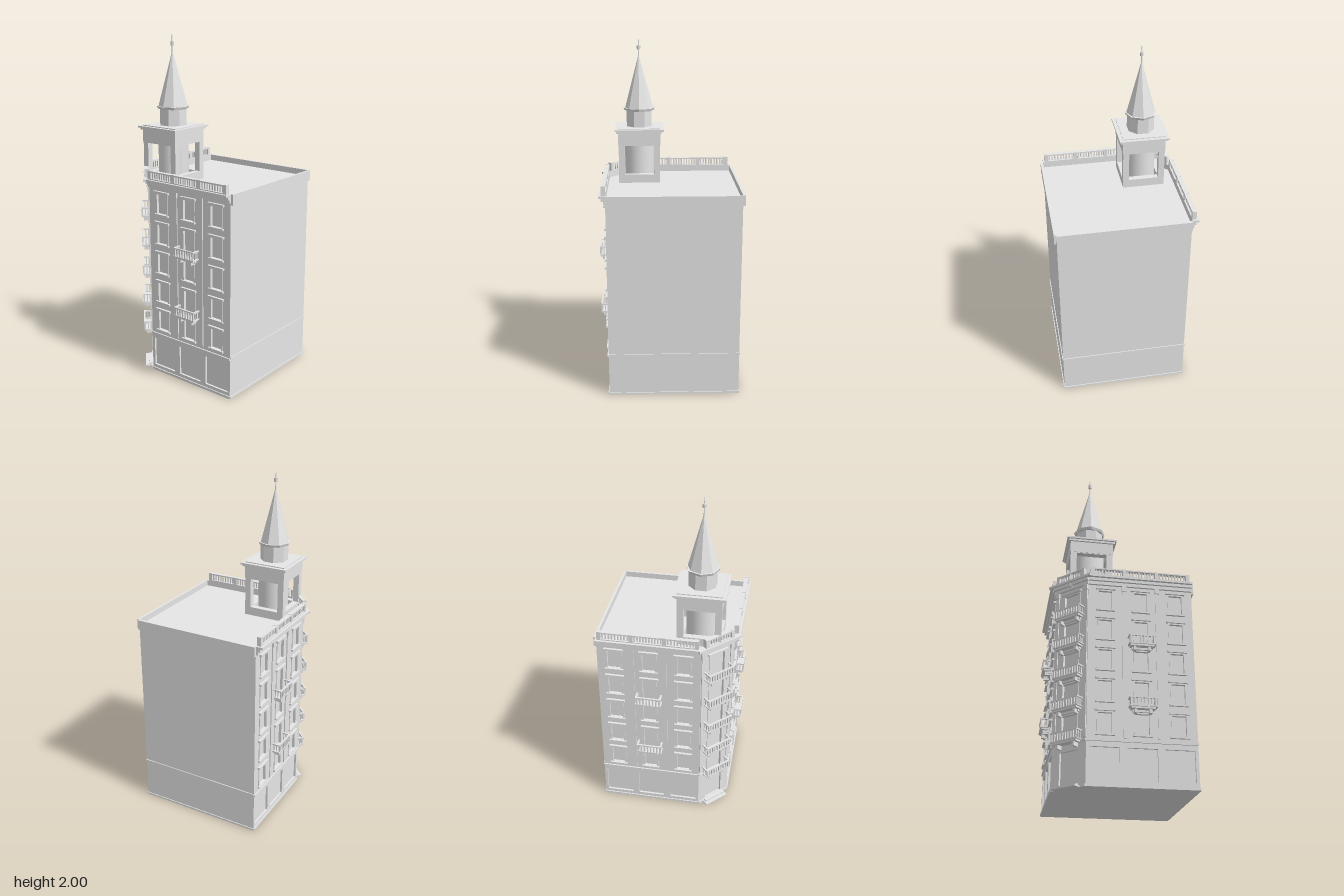
import * as THREE from 'three';

const stone = new THREE.MeshStandardMaterial({ color: 0xe6e6e6 });
stone.name = 'stone';

const FLOOR = 0.18;
const ROOF = 1.165;
const RECESS = 0.012;

function add(parent, name, geo, x = 0, y = 0, z = 0) {
  const m = new THREE.Mesh(geo, stone);
  m.name = name;
  m.position.set(x, y, z);
  parent.add(m);
  return m;
}

// box given by its centre in x, its bottom and top, and its back and front in z
function slab(parent, name, x, w, y0, y1, z0, z1) {
  return add(parent, name, new THREE.BoxGeometry(w, y1 - y0, z1 - z0), x, (y0 + y1) / 2, (z0 + z1) / 2);
}

function rect(S, x, y0, w, y1) {
  const s = new S();
  s.moveTo(x - w / 2, y0);
  s.lineTo(x + w / 2, y0);
  s.lineTo(x + w / 2, y1);
  s.lineTo(x - w / 2, y1);
  s.closePath();
  return s;
}

// wall with rectangular openings [x, y0, width, y1]
function wall(parent, name, outer, holes, depth, z) {
  const s = rect(THREE.Shape, ...outer);
  for (const h of holes) s.holes.push(rect(THREE.Path, ...h));
  return add(parent, name, new THREE.ExtrudeGeometry(s, { depth, bevelEnabled: false }), 0, 0, z);
}

// footprint prism with the cut corner at -x, -z
function prism(parent, name, inset, y0, y1) {
  const a = -0.36 + inset, b = 0.395, c = -0.2 + inset * 0.414;
  const pts = [[a, c], [c, a], [b, a], [b, b], [a, b]].map(([x, z]) => new THREE.Vector2(x, -z));
  const geo = new THREE.ExtrudeGeometry(new THREE.Shape(pts), { depth: y1 - y0, bevelEnabled: false });
  geo.rotateX(-Math.PI / 2);
  return add(parent, name, geo, 0, y0, 0);
}

// row of balusters between a base and a hand rail
function railing(parent, name, x0, x1, y0, y1, z, t, step) {
  const g = new THREE.Group();
  g.name = name;
  const xc = (x0 + x1) / 2, w = x1 - x0, n = Math.max(2, Math.round(w / step));
  slab(g, 'railBase', xc, w, y0, y0 + 0.006, z - t / 2, z + t / 2);
  slab(g, 'handRail', xc, w, y1 - 0.008, y1, z - t / 2, z + t / 2);
  for (let i = 0; i < n; i++) {
    slab(g, 'baluster', x0 + (i + 0.5) * w / n, 0.008, y0, y1 - 0.005, z - 0.004, z + 0.004);
  }
  parent.add(g);
}

function balcony(parent, x, y, w) {
  const g = new THREE.Group();
  g.name = 'balcony';
  slab(g, 'balconyDeck', x, w - 0.02, y - 0.01, y, 0, 0.044);
  for (const s of [-1, 1]) {
    slab(g, 'bracket', x + s * (w / 2 - 0.035), 0.015, y - 0.032, y - 0.01, 0, 0.036);
    slab(g, 'sideRail', x + s * (w / 2 - 0.005), 0.01, y + 0.047, y + 0.055, 0, 0.04);
    slab(g, 'sideBase', x + s * (w / 2 - 0.005), 0.01, y, y + 0.006, 0, 0.04);
    for (const z of [0.01, 0.026]) {
      slab(g, 'sideBaluster', x + s * (w / 2 - 0.009), 0.006, y, y + 0.05, z - 0.003, z + 0.003);
    }
  }
  railing(g, 'balconyRailing', x - w / 2, x + w / 2, y, y + 0.055, 0.045, 0.01, 0.018);
  parent.add(g);
}

// surround, sill and cap of an opening
function trim(parent, [x, y0, w, y1], sill) {
  wall(parent, 'windowFrame', [x, y0, w + 0.016, y1 + 0.008], [[x, y0, w, y1]], 0.004, 0);
  slab(parent, 'windowCap', x, w + 0.035, y1 + 0.008, y1 + 0.02, 0, 0.014);
  if (sill) slab(parent, 'windowSill', x, w + 0.03, y0 - 0.01, y0, 0, 0.013);
}

function facade(name, len, x, z, turn, corner) {
  const g = new THREE.Group();
  g.name = name;
  g.position.set(x, 0, z);
  g.rotation.y = turn;
  const holes = [], cols = corner ? [0] : [-0.2, 0, 0.2];

  // shop windows or the corner entrance
  for (const c of cols) holes.push(corner ? [0, 0.02, 0.12, 0.2] : [c, 0.035, 0.16, 0.21]);

  // five upper floors
  for (let f = 0; f < 5; f++) {
    const y = 0.245 + f * FLOOR;
    for (const c of cols) {
      const hasBalcony = corner || (c === 0 && (f === 1 || f === 3));
      const h = [c, hasBalcony ? y : y + 0.035, corner ? 0.1 : 0.075, y + 0.15];
      holes.push(h);
      trim(g, h, !hasBalcony);
      if (hasBalcony) balcony(g, c, y, corner ? 0.178 : 0.15);
    }
  }
  wall(g, 'facadeWall', [0, 0, len, ROOF], holes, RECESS, -RECESS);

  // pilasters
  for (const s of [-1, 1]) {
    const px = s * (corner ? len / 2 - 0.012 : 0.094);
    slab(g, 'pilaster', px, corner ? 0.018 : 0.02, 0.26, 1.15, 0, 0.006);
    slab(g, 'capital', px, 0.026, 1.12, 1.15, 0, 0.012);
  }

  // plinth, string course and stepped cornice
  slab(g, 'plinth', 0, len, 0, 0.015, 0, 0.006);
  slab(g, 'stringCourse', 0, len, 0.238, 0.25, 0, 0.008);
  slab(g, 'corniceLower', 0, len + (corner ? 0.01 : 0), 1.15, 1.17, 0, 0.012);
  slab(g, 'corniceMiddle', 0, len + (corner ? 0.02 : 0), 1.17, 1.187, 0, 0.024);
  slab(g, 'corniceTop', 0, corner ? 0.297 : len, 1.187, 1.2, 0, corner ? 0.035 : 0.039);

  // roof balustrade with posts
  const posts = corner ? [-0.088, 0.088] : [-0.275, -0.0935, 0.0935, 0.275];
  posts.forEach((p, i) => {
    slab(g, 'roofPost', p, 0.022, 1.2, 1.252, 0, 0.025);
    if (i) railing(g, 'roofBalustrade', posts[i - 1] + 0.011, p - 0.011, 1.2, 1.25, 0.0125, 0.025, 0.017);
  });

  // entrance steps
  if (corner) {
    slab(g, 'lowerStep', 0, 0.16, 0, 0.008, 0, 0.045);
    slab(g, 'upperStep', 0, 0.14, 0.008, 0.018, 0, 0.025);
  }
  return g;
}

function tower() {
  const g = new THREE.Group();
  g.name = 'tower';
  g.position.set(-0.175, 0, -0.175);

  // belfry: corner piers, low wall and lintel around a round core
  for (let i = 0; i < 4; i++) {
    const side = new THREE.Group();
    side.name = 'belfrySide';
    side.rotation.y = i * Math.PI / 2;
    wall(side, 'belfryWall', [0, ROOF, 0.246, 1.475], [[0, 1.215, 0.175, 1.39]], 0.035, 0.088);
    slab(side, 'belfryBand', 0, 0.25, 1.395, 1.47, 0.12, 0.125);
    g.add(side);
  }
  add(g, 'belfryCore', new THREE.CylinderGeometry(0.088, 0.088, 0.31, 32), 0, 1.32, 0);
  slab(g, 'belfryMoulding', 0, 0.27, 1.465, 1.477, -0.135, 0.135);
  slab(g, 'belfryCap', 0, 0.29, 1.477, 1.487, -0.145, 0.145);
  slab(g, 'drumBase', 0, 0.248, 1.487, 1.492, -0.124, 0.124);

  // eight-sided drum and spire
  const octagon = (name, top, bottom, y0, y1, turn = 0) => {
    const geo = new THREE.CylinderGeometry(top, bottom, y1 - y0, 8).toNonIndexed();
    geo.computeVertexNormals();
    add(g, name, geo, 0, (y0 + y1) / 2, 0).rotation.y = turn;
  };
  octagon('drum', 0.081, 0.081, 1.49, 1.59, Math.PI / 8);
  octagon('drumCap', 0.094, 0.088, 1.585, 1.6);
  octagon('spire', 0.004, 0.084, 1.6, 1.9);

  // finial
  add(g, 'finialRod', new THREE.CylinderGeometry(0.002, 0.004, 0.11, 8), 0, 1.945, 0);
  add(g, 'finialKnob', new THREE.CylinderGeometry(0.011, 0.01, 0.022, 8), 0, 1.953, 0);
  return g;
}

export function createModel() {
  const model = new THREE.Group();
  model.name = 'cornerBuilding';

  prism(model, 'body', RECESS, 0, ROOF);
  model.add(facade('backFacade', 0.595, 0.0975, -0.36, Math.PI, false));
  model.add(facade('sideFacade', 0.595, -0.36, 0.0975, -Math.PI / 2, false));
  model.add(facade('cornerFacade', 0.2263, -0.28, -0.28, -Math.PI * 3 / 4, true));

  // plain party walls, with a parapet band rising above the sunken roof
  for (const turn of [0, Math.PI / 2]) {
    const g = new THREE.Group();
    g.name = 'plainWall';
    g.rotation.y = turn;
    const x = turn ? -0.0175 : 0.0175;
    slab(g, 'partyPlinth', x, 0.755, 0, 0.012, 0.39, 0.4);
    slab(g, 'partyStringCourse', x, 0.755, 0.245, 0.257, 0.39, 0.4);
    slab(g, 'parapetBand', x, 0.755, 1.14, 1.2, 0.394, 0.409);
    model.add(g);
  }

  model.add(tower());
  return model;
}
